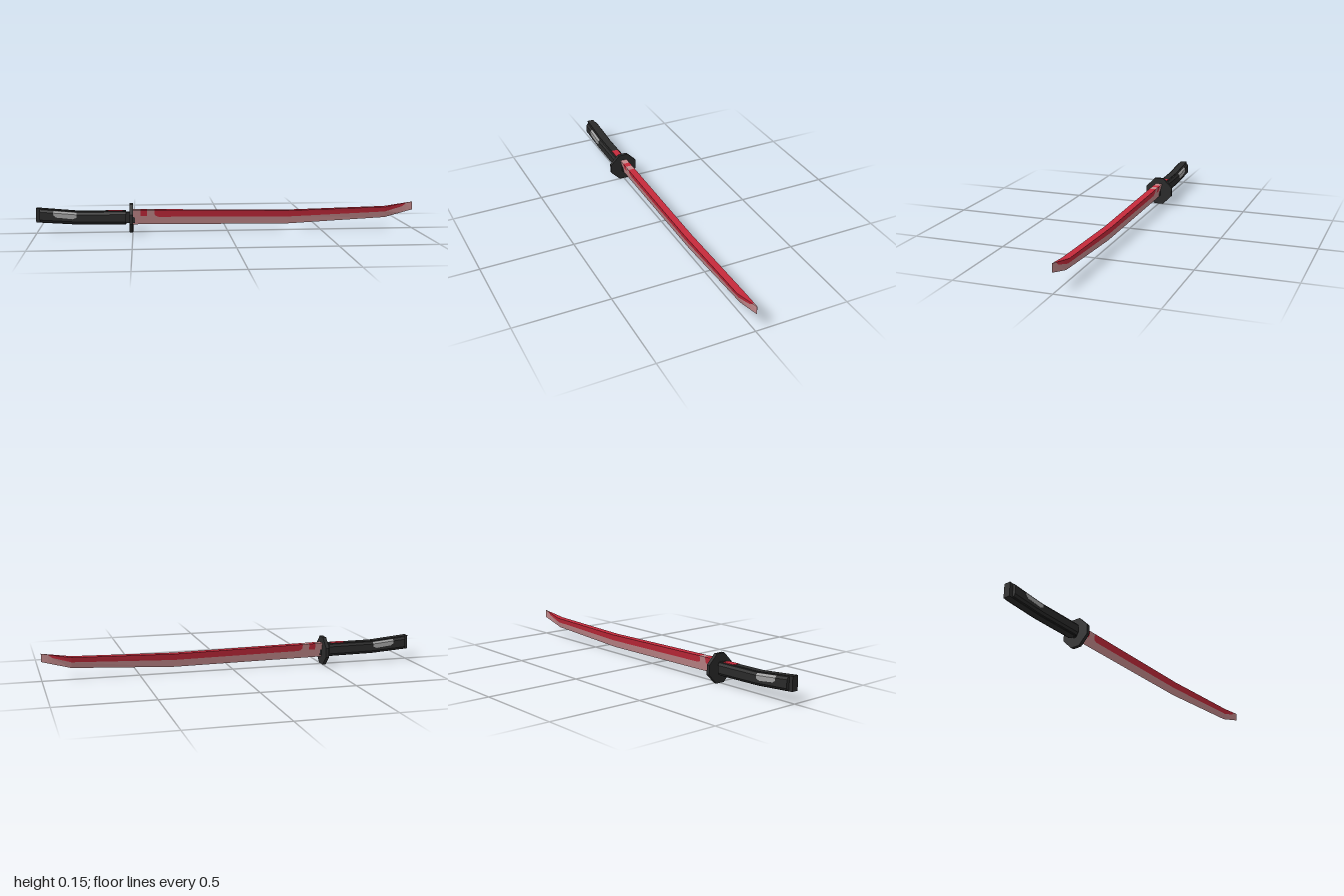
import * as THREE from 'three';

const mat = (name, color, extra = {}) => Object.assign(new THREE.MeshStandardMaterial({ color, ...extra }), { name });

// Skins closed rings of [x, y, z] (ordered up -> +z -> down -> -z) along +x with flat faces.
// pick(segment, side) gives the material index of each quad.
function loft(rings, pick = () => 0) {
  const pos = [], geo = new THREE.BufferGeometry();
  const add = (index, ...points) => {
    geo.addGroup(pos.length / 3, points.length, index);
    points.forEach(p => pos.push(...p));
  };
  const n = rings[0].length;
  for (let s = 0; s < rings.length - 1; s++) {
    const a = rings[s], b = rings[s + 1];
    for (let i = 0; i < n; i++) {
      const j = (i + 1) % n;
      add(pick(s, i), a[i], a[j], b[j], a[i], b[j], b[i]);
    }
  }
  const first = rings[0], last = rings[rings.length - 1];
  for (let i = 1; i < n - 1; i++) {
    add(0, first[0], first[i + 1], first[i]);
    add(0, last[0], last[i], last[i + 1]);
  }
  geo.setAttribute('position', new THREE.Float32BufferAttribute(pos, 3));
  geo.computeVertexNormals();
  return geo;
}

// Linear lookup in a list of [x, value]
function along(list, x) {
  let i = 1;
  while (i < list.length - 1 && x > list[i][0]) i++;
  const [x0, v0] = list[i - 1], [x1, v1] = list[i];
  return v0 + (v1 - v0) * (x - x0) / (x1 - x0);
}

export function createModel() {
  const black = mat('black', 0x2a2a2a);
  const red = mat('red', 0xc62a3b);
  const pale = mat('pale steel', 0xc48a8c);
  const grey = mat('grey', 0xa0a0a0);
  const group = new THREE.Group();
  group.name = 'sword';
  const add = (name, geometry, material) => {
    const mesh = new THREE.Mesh(geometry, material);
    mesh.name = name;
    group.add(mesh);
    return mesh;
  };

  // Blade: wedge section; columns are x, spine y, edge y, half width, red depth
  const bladeTop = [[-0.5, 0.118], [0.32, 0.105], [0.85, 0.118], [1, 0.143]];
  const bladeEdge = [[-0.5, 0.04], [0.32, 0.033], [0.85, 0.06], [1, 0.1]];
  const bladeWidth = [[-0.5, 0.019], [0.85, 0.018], [1, 0.001]];
  const stations = [
    [-0.5, 0.43], [-0.46, 0.43], [-0.425, 0.43], [-0.387, 0.25], [-0.38, 0.4], [-0.365, 0.47],
    [0.32, 0.46], [0.85, 0.45], [0.945, 0.3], [0.965, 0.03], [1, 0.02],
  ];
  const redSegments = [1, 3, 4, 5, 6, 7, 8];
  const bladeRings = stations.map(([x, t]) => {
    const top = along(bladeTop, x), edge = along(bladeEdge, x), w = along(bladeWidth, x);
    const mid = top + (edge - top) * t, m = w * (1 - t);
    return [[x, top, -w], [x, top, w], [x, mid, m], [x, edge, 0], [x, mid, -m]];
  });
  add('blade', loft(bladeRings, (s, i) => redSegments.includes(s) && i !== 2 && i !== 3 ? 1 : 0), [pale, red]);

  // Guard: octagonal plate
  const c = 0.025, r = 0.075;
  const octagon = new THREE.Shape([[c, r], [r, c], [r, -c], [c, -r], [-c, -r], [-r, -c], [-r, c], [-c, r]]
    .map(p => new THREE.Vector2(...p)));
  const guard = add('guard', new THREE.ExtrudeGeometry(octagon, { depth: 0.018, bevelEnabled: false }), black);
  guard.rotation.y = Math.PI / 2;
  guard.position.set(-0.517, 0.075, 0);

  // Handle core, bent upward toward the pommel
  const gripTop = [[-1, 0.134], [-0.79, 0.115], [-0.5, 0.113]];
  const gripBottom = [[-1, 0.06], [-0.79, 0.046], [-0.5, 0.043]];
  const slab = (xs, w, inset = 0) => loft(xs.map(x => {
    const t = along(gripTop, x) - inset, b = along(gripBottom, x) + inset;
    return [[x, t, -w], [x, t, w], [x, b, w], [x, b, -w]];
  }));
  add('handleCore', slab([-1, -0.79, -0.535], 0.018), black);
  add('handleNeck', slab([-0.535, -0.49], 0.01, 0.006), black);

  // Chamfered grips on both sides, each with a worn grey patch
  for (const side of [1, -1]) {
    const ring = x => {
      const t = along(gripTop, x), b = along(gripBottom, x);
      const half = [[t - 0.004, 0.014], [t - 0.004, 0.026], [t - 0.016, 0.035],
        [b + 0.016, 0.035], [b + 0.004, 0.026], [b + 0.004, 0.014]].map(([y, z]) => [x, y, z * side]);
      return side > 0 ? half : half.reverse();
    };
    const label = side > 0 ? 'front' : 'back';
    add(label + 'Grip', loft([-0.98, -0.79, -0.535].map(ring)), black);

    const patchDepth = [[-0.91, 0.028], [-0.895, 0.038], [-0.81, 0.04], [-0.79, 0.03]];
    const patchRings = patchDepth.map(([x, d]) => {
      const t = along(gripTop, x);
      const points = [[t - 0.005, 0.0268], [t - 0.0155, 0.036], [t - d, 0.036], [t - d, 0.034],
        [t - 0.0165, 0.034], [t - 0.006, 0.0255]].map(([y, z]) => [x, y, z * side]);
      return side > 0 ? points : points.reverse();
    });
    add(label + 'Patch', loft(patchRings), grey);
  }

  // Red inlay on top of the handle
  const inlay = add('handleInlay', new THREE.BoxGeometry(0.075, 0.003, 0.036), red);
  inlay.position.set(-0.59, along(gripTop, -0.59) + 0.0003, 0);

  return group;
}
